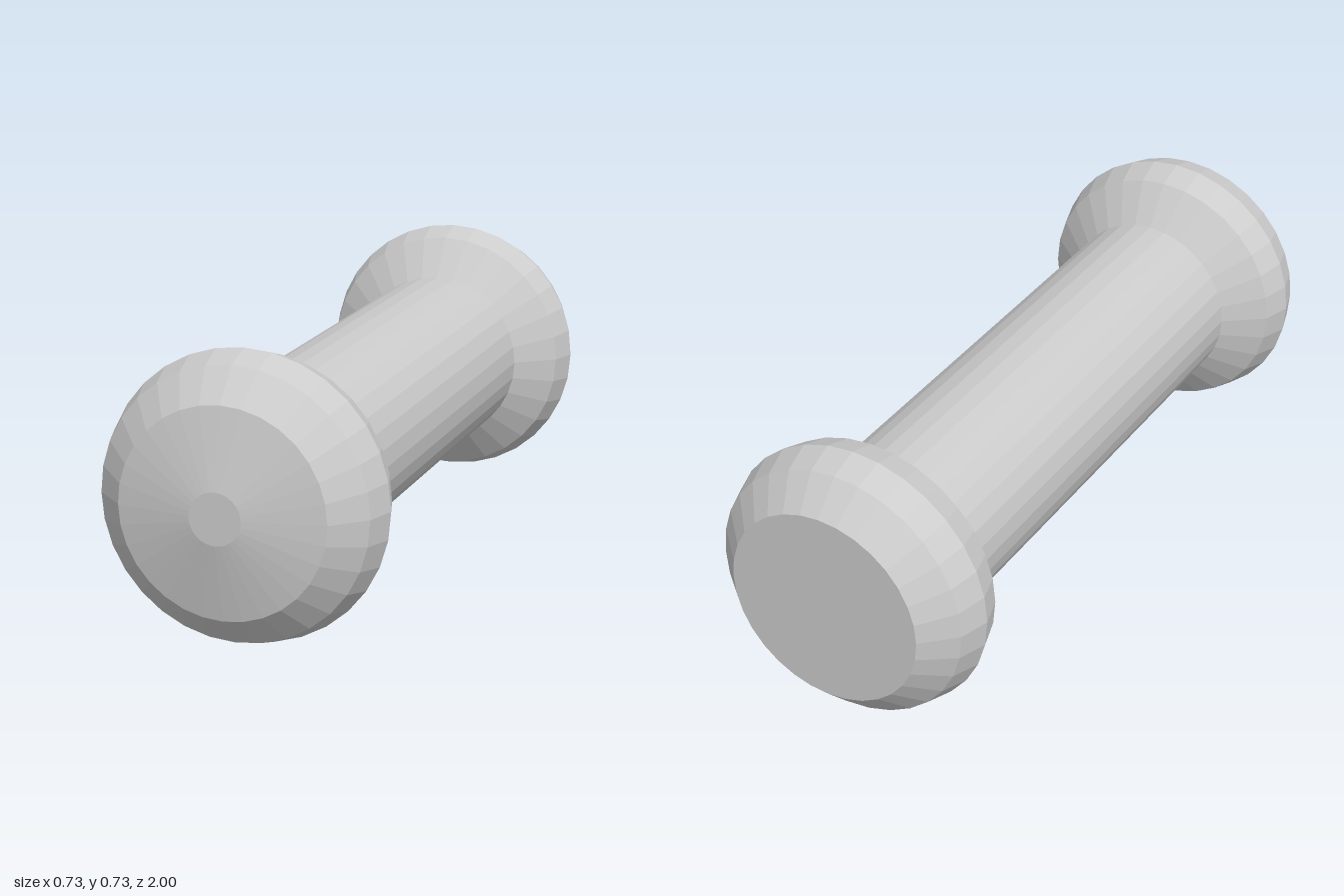
import * as THREE from 'three';

const SIDES = 32;
const AXIS_HEIGHT = 0.365;

export function createModel() {
  const model = new THREE.Group();
  model.name = 'knobbedRod';
  const material = new THREE.MeshStandardMaterial({ color: 0xcccccc, flatShading: true });

  // Turns a [radius, z] profile, listed back to front, around the long axis
  const addTurnedPart = (name, profile) => {
    const points = profile.map(([r, z]) => new THREE.Vector2(r, z));
    const geometry = new THREE.LatheGeometry(points, SIDES);
    geometry.rotateX(Math.PI / 2);
    const mesh = new THREE.Mesh(geometry, material);
    mesh.name = name;
    mesh.position.y = AXIS_HEIGHT;
    model.add(mesh);
  };

  // Back knob with a flat end
  addTurnedPart('backKnob', [
    [0, -1], [0.262, -1], [0.34, -0.925], [0.364, -0.847], [0.34, -0.77], [0.237, -0.69],
  ]);

  // Straight shaft
  addTurnedPart('shaft', [[0.237, -0.69], [0.237, 0.65]]);

  // Front knob with a shallow domed end
  addTurnedPart('frontKnob', [
    [0.237, 0.65], [0.34, 0.728], [0.364, 0.806], [0.34, 0.885], [0.262, 0.96], [0.065, 1], [0, 1],
  ]);

  return model;
}
